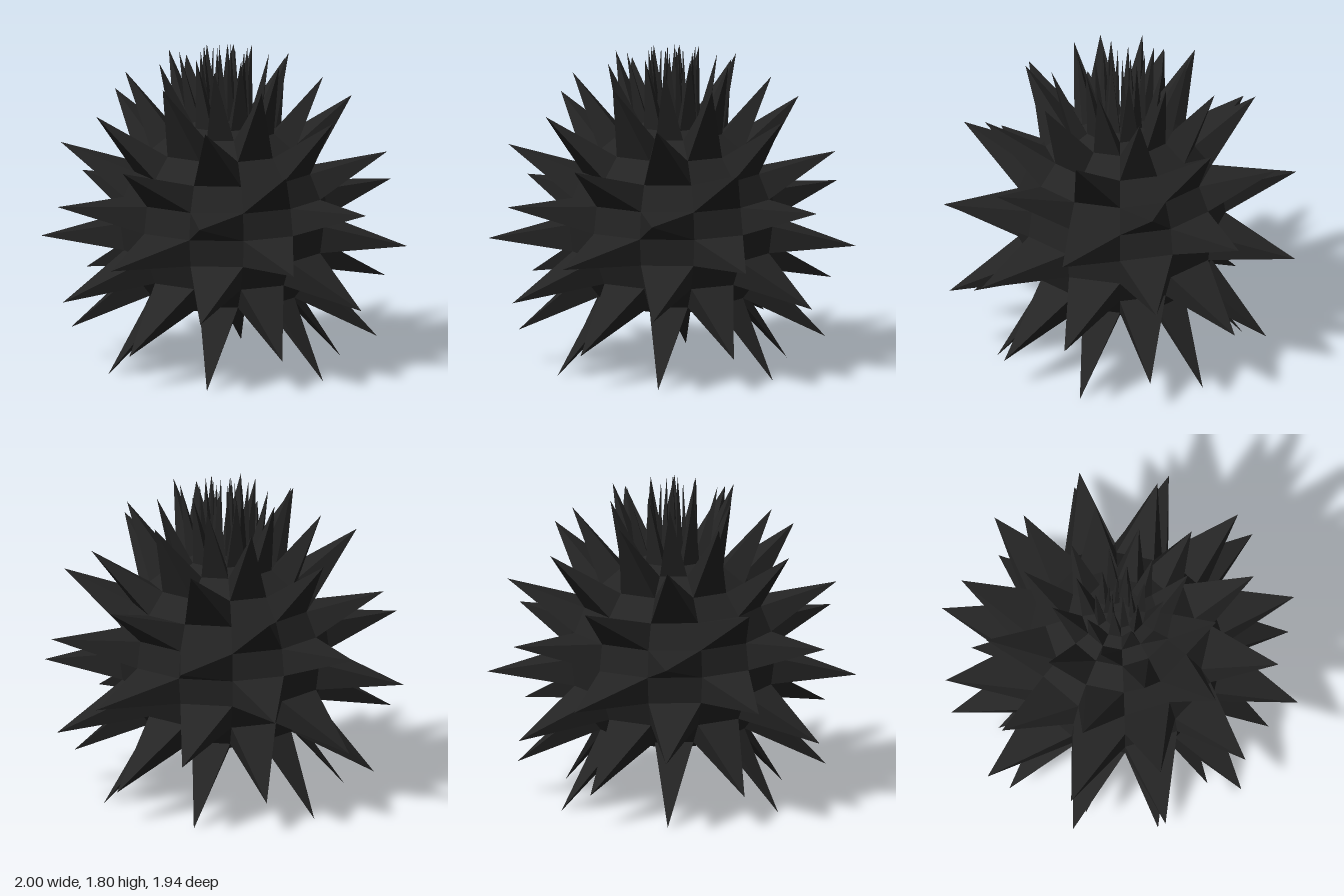
import * as THREE from 'three';

const CENTRE_Y = 0.82;
const RADIUS = 0.58;
const SEGMENTS = 12;
// Latitudes (degrees) of the rings that bound the facet bands, bottom to top
const RINGS = [-50, -45, -30, -15, 0, 15, 30, 45, 60, 69, 76, 81, 84.5];
// Spike tip of each band: [distance from the axis, height above the centre]
const TIPS = [
  [0.69, -0.82], [0.85, -0.63], [0.958, -0.39], [1.018, -0.12],
  [0.99, 0.15], [0.907, 0.41], [0.76, 0.64], [0.55, 0.82],
  [0.385, 0.91], [0.25, 0.94], [0.14, 0.965], [0.06, 0.98],
];
const TIP_ANGLE = 18.6; // spikes lean slightly past the middle of their facet

const rad = THREE.MathUtils.degToRad;
const polar = (r, y, deg) => [r * Math.cos(rad(deg)), y, r * Math.sin(rad(deg))];
const onBall = (lat, deg) =>
  polar(RADIUS * Math.cos(rad(lat)), RADIUS * Math.sin(rad(lat)), deg);

function makeMesh(name, positions, material) {
  const geometry = new THREE.BufferGeometry();
  geometry.setAttribute('position', new THREE.Float32BufferAttribute(positions, 3));
  geometry.computeVertexNormals();
  const mesh = new THREE.Mesh(geometry, material);
  mesh.name = name;
  mesh.position.y = CENTRE_Y;
  return mesh;
}

export function createModel() {
  const group = new THREE.Group();
  group.name = 'spikyBall';
  const material = new THREE.MeshStandardMaterial({
    color: 0x242424, flatShading: true, side: THREE.DoubleSide,
  });
  const step = 360 / SEGMENTS;
  const body = [];

  // Facets in a checkerboard: every second one is drawn out into a spike
  TIPS.forEach(([tipR, tipY], band) => {
    const spikes = [];
    for (let i = 0; i < SEGMENTS; i++) {
      const a = i * step, b = a + step;
      const lo = RINGS[band], hi = RINGS[band + 1];
      const corners = [onBall(lo, b), onBall(lo, a), onBall(hi, a), onBall(hi, b)];
      if ((i + band) % 2 === 0) {
        const tip = polar(tipR, tipY, a + TIP_ANGLE);
        corners.forEach((c, k) => spikes.push(...c, ...corners[(k + 1) % 4], ...tip));
      } else {
        const [p, q, r, s] = corners;
        body.push(...p, ...q, ...r, ...p, ...r, ...s);
      }
    }
    group.add(makeMesh('spikeRow' + (band + 1), spikes, material));
  });

  // Small cap at the top and shallow base with a flat floor
  const top = RINGS[RINGS.length - 1], bottom = RINGS[0];
  const base = [];
  for (let i = 0; i < SEGMENTS; i++) {
    const a = i * step, b = a + step;
    body.push(...onBall(top, b), ...onBall(top, a), 0, RADIUS, 0);
    const oa = onBall(bottom, a), ob = onBall(bottom, b);
    const ia = polar(0.31, -0.455, a), ib = polar(0.31, -0.455, b);
    base.push(...oa, ...ob, ...ib, ...oa, ...ib, ...ia);
    base.push(...ia, ...ib, 0, -0.455, 0);
  }
  group.add(makeMesh('body', body, material));
  group.add(makeMesh('base', base, material));
  return group;
}
